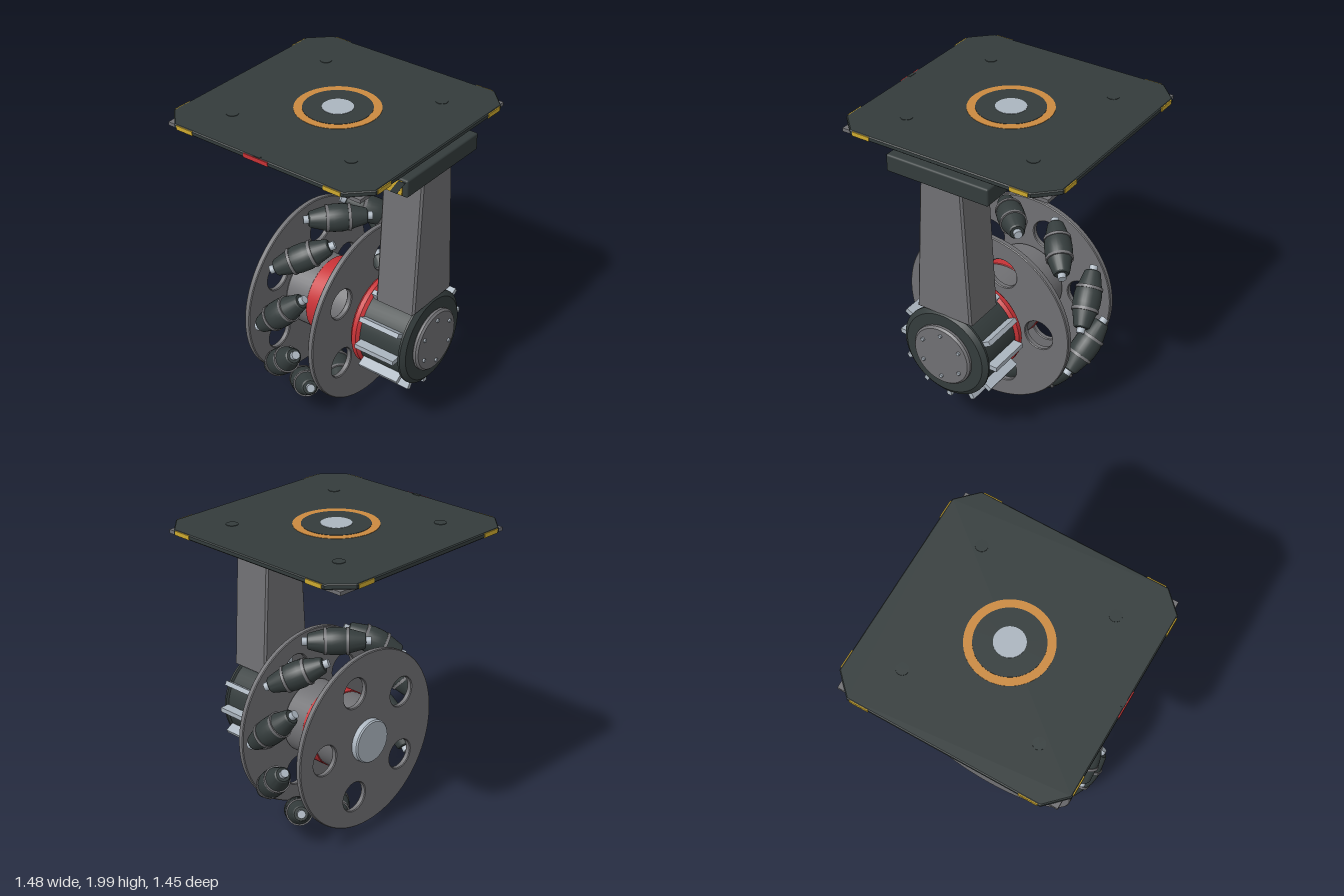
import * as THREE from 'three';
import { toCreasedNormals } from 'three/addons/utils/BufferGeometryUtils.js';
import { RoundedBoxGeometry } from 'three/addons/geometries/RoundedBoxGeometry.js';

const mat = (name, color) => new THREE.MeshStandardMaterial({ name, color });
const dark = mat('charcoal', 0x343c3c);
const grey = mat('grey metal', 0x707073);
const silver = mat('silver', 0xabb5bf);
const red = mat('red', 0xc83236);
const yellow = mat('yellow', 0xcda92f);
const orange = mat('orange', 0xcb8a40);

const AXLE_Y = 0.67, WHEEL_X = -0.017, PLATE_X = -0.016;

function add(parent, name, geometry, material, x = 0, y = 0, z = 0) {
  const mesh = new THREE.Mesh(geometry, material);
  mesh.name = name;
  mesh.position.set(x, y, z);
  parent.add(mesh);
  return mesh;
}

const box = (w, h, d) => new THREE.BoxGeometry(w, h, d);

// Solid of revolution about y from [radius, height] pairs, with sharp edges kept
function turned(points, segments = 48) {
  const profile = points.map(([r, h]) => new THREE.Vector2(r, h));
  return toCreasedNormals(new THREE.LatheGeometry(profile, segments), 0.5);
}

// Solid of revolution about x from [radius, x] pairs
const turnedX = (points, segments) => turned(points, segments).rotateZ(-Math.PI / 2);

// Chamfered drum along x
const drum = (r, x0, x1, c = 0.008) =>
  turnedX([[0, x0], [r - c, x0], [r, x0 + c], [r, x1 - c], [r - c, x1], [0, x1]]);

function polygon(points) {
  return new THREE.Shape(points.map(([x, y]) => new THREE.Vector2(x, y)));
}

// Extrusion whose bevel stays inside the given depth and outline
function slab(shape, depth, bevel) {
  const geometry = new THREE.ExtrudeGeometry(shape, {
    depth: depth - 2 * bevel, bevelThickness: bevel, bevelSize: bevel,
    bevelOffset: -bevel, bevelSegments: 1, curveSegments: 40,
  });
  return toCreasedNormals(geometry.translate(0, 0, bevel), 0.5);
}

function buildTopPlate() {
  const g = new THREE.Group();
  g.name = 'topPlate';
  g.position.x = PLATE_X;
  const s = 0.722, k = 0.6;
  const outline = polygon([[s, -k], [s, k], [k, s], [-k, s], [-s, k], [-s, -k], [-k, -s], [k, -s]]);
  add(g, 'plate', slab(outline, 0.032, 0.006).rotateX(-Math.PI / 2), dark, 0, 1.962, 0);

  // Inlaid discs on the top
  const disc = (name, r, top, m, x = 0, z = 0) =>
    add(g, name, new THREE.CylinderGeometry(r, r, 0.008, 64), m, x, top - 0.004, z);
  disc('orangeRing', 0.256, 1.996, orange);
  disc('ringCentre', 0.206, 1.998, dark);
  disc('centreDisc', 0.093, 2.0, silver);

  for (const a of [-1, 1]) {
    for (const b of [-1, 1]) {
      disc('plug', 0.037, 1.997, dark, a * 0.427, b * 0.427);
      add(g, 'cornerBolt', new THREE.CylinderGeometry(0.02, 0.02, 0.03, 12), silver, a * 0.605, 1.94, b * 0.605);
      // Yellow edge markers on all four sides
      add(g, 'edgeMarker', box(0.118, 0.026, 0.008), yellow, a * 0.525, 1.978, b * 0.722);
      add(g, 'edgeMarker', box(0.008, 0.026, 0.118), yellow, a * 0.722, 1.978, b * 0.525);
    }
    // Square frame below the plate
    add(g, 'underFrame', box(1.37, 0.022, 0.05), grey, 0, 1.954, a * 0.66);
    add(g, 'underFrame', box(0.05, 0.022, 1.27), grey, a * 0.66, 1.954, 0);
  }
  add(g, 'frontMarker', box(0.172, 0.026, 0.008), red, 0, 1.978, 0.722);
  add(g, 'frontNotch', box(0.05, 0.006, 0.02), dark, 0, 1.994, 0.71);
  return g;
}

function buildArm() {
  const g = new THREE.Group();
  g.name = 'supportArm';
  // Tapered leg
  const leg = polygon([[-0.19, 0.935], [0.19, 0.935], [0.14, 1.83], [-0.14, 1.83]]);
  add(g, 'leg', slab(leg, 0.275, 0.012).rotateY(Math.PI / 2), grey, 0.415, 0, 0);
  // Mounting block and tapered bracket under the plate
  add(g, 'mountBlock', new RoundedBoxGeometry(0.57, 0.11, 0.68, 2, 0.012), dark, 0.44, 1.88, 0);
  const bracket = polygon([[-0.24, 1.934], [0.24, 1.934], [0.2, 1.964], [-0.2, 1.964]]);
  add(g, 'bracket', slab(bracket, 0.4, 0.002).rotateY(Math.PI / 2), grey, 0.22, 0, 0);

  // Hazard panel with slanted stripes
  add(g, 'hazardPanel', box(0.51, 0.086, 0.008), yellow, 0.437, 1.879, 0.342);
  for (let i = 0; i < 5; i++) {
    const x = 0.222 + i * 0.098, lo = 1.836, hi = 1.922;
    const stripe = polygon([[x, lo], [x + 0.046, lo], [x + 0.1, hi], [x + 0.054, hi]]);
    const geometry = new THREE.ExtrudeGeometry(stripe, { depth: 0.003, bevelEnabled: false });
    add(g, 'hazardStripe', geometry, dark, 0, 0, 0.345);
  }
  return g;
}

function buildMotor() {
  const g = new THREE.Group();
  g.name = 'motor';
  g.position.y = AXLE_Y;
  add(g, 'motorFlange', drum(0.302, 0.303, 0.372, 0.02), red);
  add(g, 'motorBody', turnedX([[0, 0.37], [0.285, 0.37], [0.285, 0.655], [0.3, 0.662],
    [0.3, 0.675], [0.27, 0.697], [0, 0.697]], 64), dark);
  add(g, 'motorCap', drum(0.2, 0.69, 0.73, 0.012), grey);
  add(g, 'driveShaft', drum(0.062, 0.2, 0.31, 0.002), silver);
  for (let i = 0; i < 12; i++) {
    const spoke = new THREE.Group();
    spoke.name = 'coolingFin';
    spoke.rotation.x = i * Math.PI / 6;
    add(spoke, 'fin', box(0.28, 0.075, 0.03), silver, 0.52, 0.308, 0);
    if (i % 2 === 0) add(spoke, 'capBolt', drum(0.012, 0.72, 0.741, 0.002), silver, 0, 0.147, 0);
    g.add(spoke);
  }
  return g;
}

function buildRoller() {
  const g = new THREE.Group();
  g.name = 'roller';
  add(g, 'rubber', turned([[0, -0.178], [0.042, -0.178], [0.05, -0.17], [0.077, -0.07], [0.085, -0.03],
    [0.085, 0.03], [0.077, 0.07], [0.05, 0.17], [0.042, 0.178], [0, 0.178]], 28), dark);
  add(g, 'pin', new THREE.CylinderGeometry(0.026, 0.026, 0.42, 12), silver);
  for (const s of [-1, 1]) {
    add(g, 'band', turned([[0.06, -0.009], [0.084, -0.009], [0.084, 0.009], [0.06, 0.009]], 28), grey, 0, s * 0.068, 0);
  }
  return g;
}

function buildWheel() {
  const g = new THREE.Group();
  g.name = 'wheel';
  g.position.set(WHEEL_X, AXLE_Y, 0);

  // Side discs, each with five round holes
  const shape = new THREE.Shape().absarc(0, 0, 0.58, 0, Math.PI * 2);
  for (let i = 0; i < 5; i++) {
    const a = i * Math.PI * 2 / 5;
    shape.holes.push(new THREE.Path().absarc(0.371 * Math.cos(a), 0.371 * Math.sin(a), 0.096, 0, Math.PI * 2, true));
  }
  const side = slab(shape, 0.036, 0.005).rotateY(Math.PI / 2).translate(-0.018, 0, 0);
  add(g, 'sideDisc', side, grey, -0.245, 0, 0);
  add(g, 'sideDisc', side, grey, 0.245, 0, 0);

  // Hub
  add(g, 'hub', drum(0.24, -0.23, 0.23, 0.015), grey);
  add(g, 'hubBand', drum(0.246, -0.058, 0.056, 0.003), red);
  add(g, 'hubCap', drum(0.14, -0.305, -0.255, 0.008), silver);

  // Ten rollers set at 45 degrees round the rim
  const up = new THREE.Vector3(0, 1, 0);
  for (let i = 0; i < 10; i++) {
    const a = (18 + 36 * i) * Math.PI / 180, c = Math.cos(a), s = Math.sin(a);
    const roller = buildRoller();
    roller.position.set(0, 0.575 * s, -0.575 * c);
    roller.quaternion.setFromUnitVectors(up, new THREE.Vector3(1, -c, -s).normalize());
    g.add(roller);
  }
  return g;
}

export function createModel() {
  const model = new THREE.Group();
  model.name = 'omniWheelUnit';
  model.add(buildTopPlate(), buildArm(), buildMotor(), buildWheel());
  return model;
}
